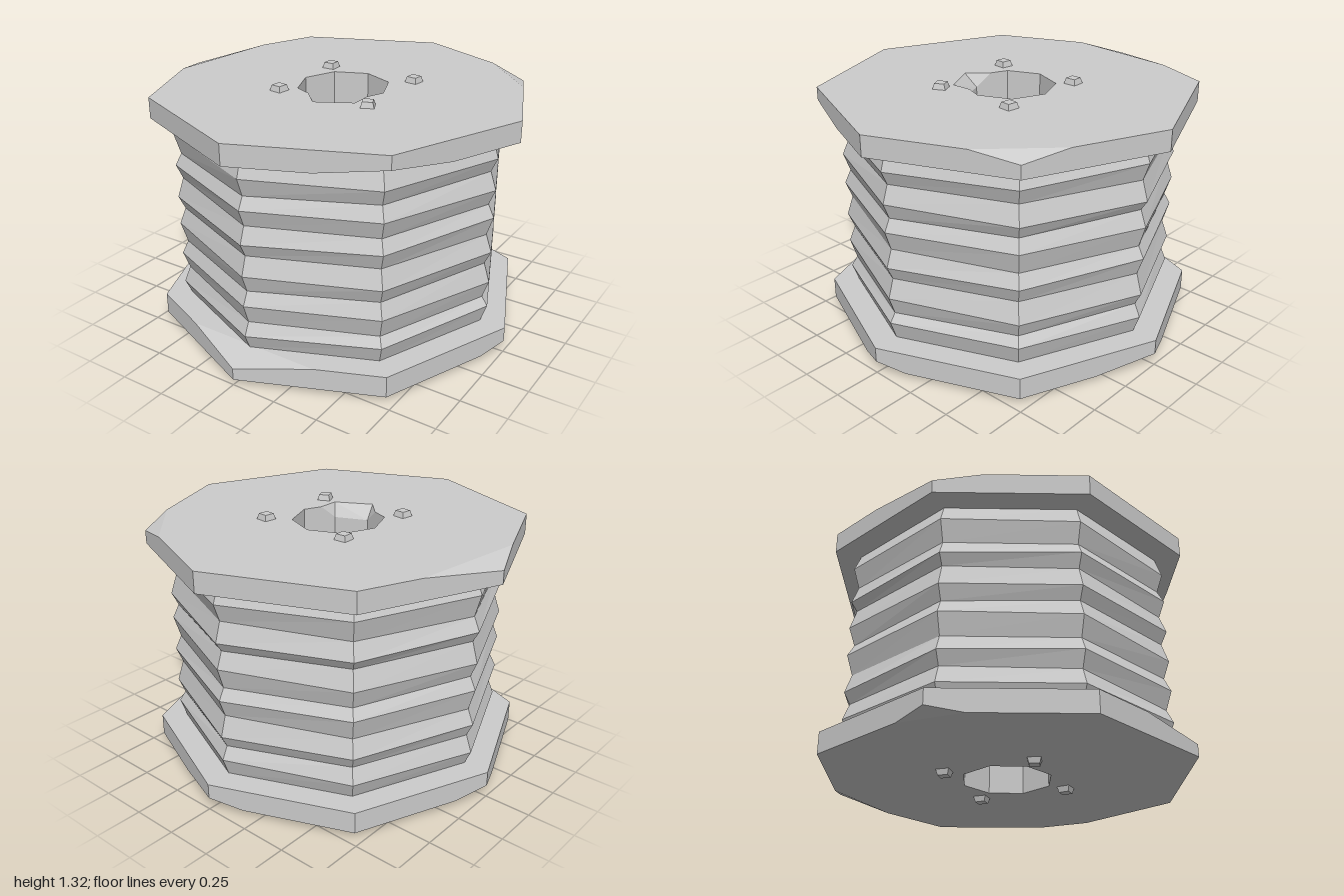
import * as THREE from 'three';

const SIDES = 8, HOLE = 0.242;
const material = new THREE.MeshStandardMaterial({ color: 0xcccccc, flatShading: true, side: THREE.DoubleSide });

// Corner i of an octagon; corner 0 points to the front, then round towards +x
function corner(i, r, y) {
  const a = i * Math.PI * 2 / SIDES;
  return new THREE.Vector3(Math.sin(a) * r, y, Math.cos(a) * r);
}

// Flat-shaded mesh from convex polygons given counter-clockwise
function polyMesh(name, polys) {
  const pos = [];
  for (const p of polys)
    for (let k = 1; k < p.length - 1; k++)
      for (const v of [p[0], p[k], p[k + 1]]) pos.push(v.x, v.y, v.z);
  const g = new THREE.BufferGeometry();
  g.setAttribute('position', new THREE.Float32BufferAttribute(pos, 3));
  g.computeVertexNormals();
  const mesh = new THREE.Mesh(g, material);
  mesh.name = name;
  return mesh;
}

// Flat plate with a hole, facing up or down
function plateFace(name, outline, hole, y, up) {
  const s = up ? -1 : 1;
  const flat = list => list.map(v => new THREE.Vector2(v.x, s * v.z));
  const shape = new THREE.Shape(flat(outline));
  shape.holes.push(new THREE.Path(flat(hole)));
  const mesh = new THREE.Mesh(new THREE.ShapeGeometry(shape).rotateX(s * Math.PI / 2), material);
  mesh.position.y = y;
  mesh.name = name;
  return mesh;
}

// Points where side i meets a rim; a chip is [depth, share of previous edge, share of next edge]
function rimEnd(i, other, r, y, chip, dir) {
  if (!chip) return [corner(i, r, y)];
  const share = other === i + 1 ? chip[2] : chip[1];
  const low = corner(i, r, y + dir * chip[0]);
  return share ? [low, corner(i, r, y).lerp(corner(other, r, y), share)] : [low];
}

// Polygon of one upright side, with its chipped corners
function sidePanel(i, r, y0, y1, low, high) {
  const j = i + 1, n = j % SIDES;
  return [
    ...rimEnd(i, j, r, y0, low[i], 1),
    ...rimEnd(j, i, r, y0, low[n], 1).reverse(),
    ...rimEnd(j, i, r, y1, high[n], -1),
    ...rimEnd(i, j, r, y1, high[i], -1).reverse(),
  ];
}

// Outline of a rim, cut straight across each chip
function rimOutline(r, y, chips) {
  const out = [];
  for (let i = 0; i < SIDES; i++) {
    const c = chips[i];
    if (c) out.push(corner(i, r, y).lerp(corner(i - 1, r, y), c[1]), corner(i, r, y).lerp(corner(i + 1, r, y), c[2]));
    else out.push(corner(i, r, y));
  }
  return out;
}

function flange(name, y0, y1, low, high, topHole) {
  const group = new THREE.Group();
  group.name = name;
  const polys = [];
  for (let i = 0; i < SIDES; i++) {
    polys.push(sidePanel(i, 1, y0, y1, low, high));
    for (const [chip, y, dir] of [[low[i], y0, 1], [high[i], y1, -1]]) {
      if (!chip) continue;
      const a = corner(i, 1, y).lerp(corner(i - 1, 1, y), chip[1]);
      const b = corner(i, 1, y).lerp(corner(i + 1, 1, y), chip[2]);
      const v = corner(i, 1, y + dir * chip[0]);
      polys.push(dir > 0 ? [a, b, v] : [a, v, b]);
    }
  }
  const hole = rimOutline(HOLE, 0, {});
  group.add(
    polyMesh(name + 'Rim', polys),
    plateFace(name + 'Top', rimOutline(1, y1, high), topHole || hole, y1, true),
    plateFace(name + 'Underside', rimOutline(1, y0, low), hole, y0, false));
  return group;
}

export function createModel() {
  const model = new THREE.Group();
  model.name = 'spool';
  const bottom = 0.03, top = 1.285;

  // Chipped edge at the top of the centre hole
  const P = corner(0, HOLE, top - 0.07), Q = corner(1, HOLE, top - 0.07);
  const A = corner(0, HOLE, top).lerp(corner(-1, HOLE, top), 0.45);
  const D = corner(1, HOLE, top).lerp(corner(2, HOLE, top), 0.45);
  const B = new THREE.Vector3(0.02, top, 0.31), C = new THREE.Vector3(0.205, top, 0.21);
  const chippedHole = [A, B, C, D];
  for (let i = 2; i < SIDES; i++) chippedHole.push(corner(i, HOLE, top));

  // Flanges, with chips keyed by corner
  model.add(flange('bottomFlange', bottom, 0.145,
    { 2: [0.035, 0.21, 0.21], 4: [0.035, 0.45, 0.24], 6: [0.035, 0.24, 0.24] },
    { 0: [0.05, 0.53, 0.53] }));
  model.add(flange('topFlange', 1.175, top,
    { 1: [0.04, 0.46, 0.46] },
    { 3: [0.04, 0.32, 0.32], 6: [0.04, 0.57, 0.33] }, chippedHole));

  // Wall of the centre hole, facing inwards
  const wall = [[P, B, A], [P, Q, C, B], [Q, D, C]];
  const holeChips = { 0: [0.07, 0.45, 0], 1: [0.07, 0, 0.45] };
  for (let i = 0; i < SIDES; i++) wall.push(sidePanel(i, HOLE, bottom, top, {}, holeChips).reverse());
  model.add(polyMesh('holeWall', wall));

  // Wound coil: zigzag rings, each slightly tilted
  const levels = [0.145, 0.23, 0.3, 0.383, 0.475, 0.568, 0.65, 0.74, 0.83, 0.9, 0.985, 1.08, 1.175];
  const ring = (i, k) => {
    const ends = k === 0 || k === levels.length - 1;
    const tilt = ends ? 0 : 0.013 * Math.cos(i * Math.PI / 4 - k * 2.1);
    return corner(i % SIDES, k % 2 ? 0.893 : 0.86, levels[k] + tilt);
  };
  const coil = [];
  for (let k = 0; k < levels.length - 1; k++)
    for (let i = 0; i < SIDES; i++) {
      const a = ring(i, k), b = ring(i + 1, k), c = ring(i + 1, k + 1), d = ring(i, k + 1);
      coil.push([a, b, c], [a, c, d]);
    }
  model.add(polyMesh('coil', coil));

  // Small tapered bolt heads: x, z, turn
  const bolt = (name, x, z, turn, y, up) => {
    const rTop = up ? 0.038 : 0.05, rBottom = up ? 0.05 : 0.038;
    const g = new THREE.CylinderGeometry(rTop, rBottom, 0.032, 4).rotateY(Math.PI / 4 + turn);
    const mesh = new THREE.Mesh(g, material);
    mesh.position.set(x, y, z);
    mesh.name = name;
    model.add(mesh);
  };
  for (const [x, z, turn] of [[-0.235, -0.235, 0.03], [0.28, -0.25, -0.1], [-0.228, 0.253, -0.12], [0.285, 0.22, 0.45]])
    bolt('topBolt', x, z, turn, top + 0.014, true);
  for (const [x, z, turn] of [[-0.26, -0.24, 0.1], [0.23, -0.24, 0], [-0.26, 0.245, 0.3], [0.23, 0.245, -0.1]])
    bolt('bottomBolt', x, z, turn, 0.016, false);

  return model;
}
